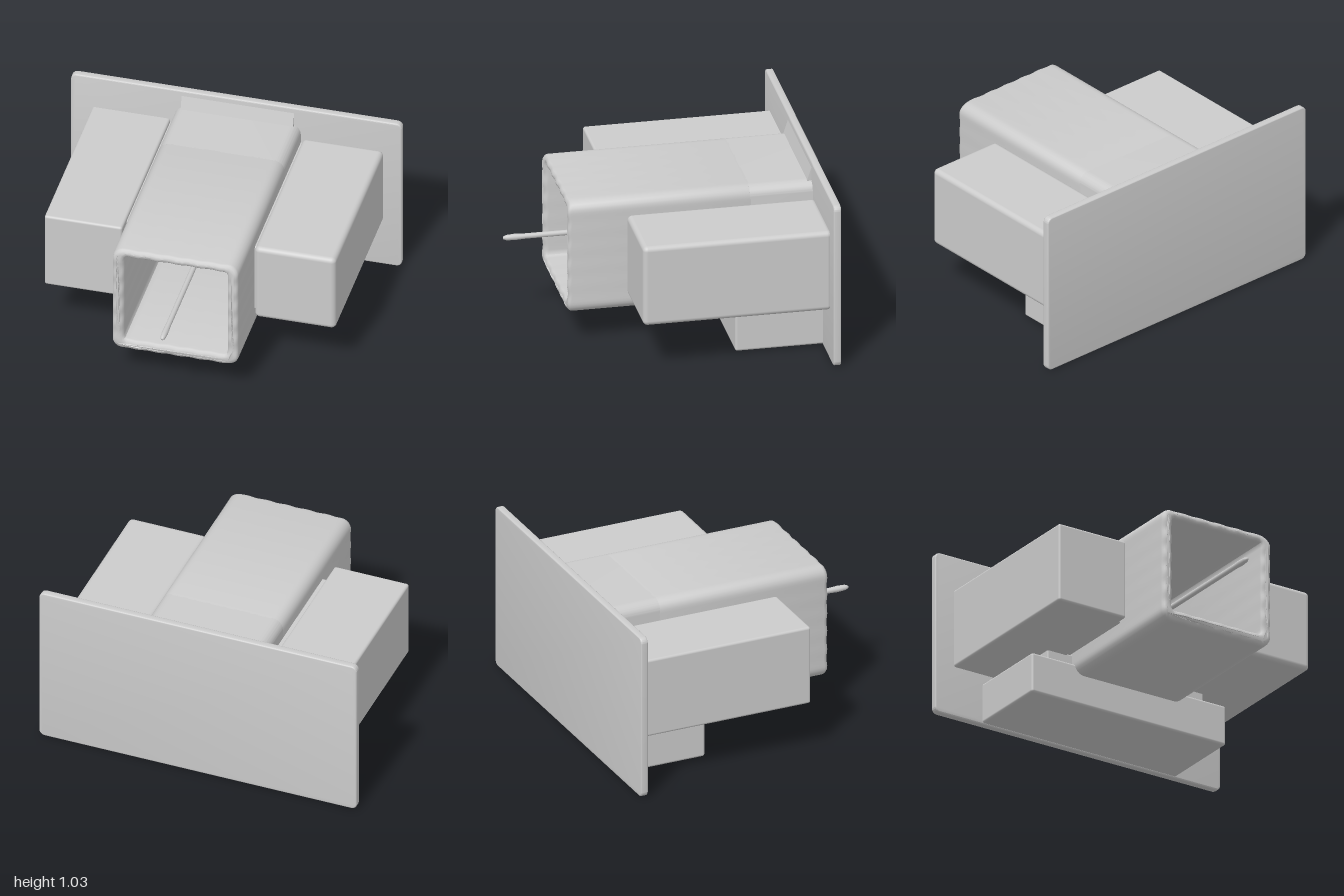
import * as THREE from 'three';
import { toCreasedNormals } from 'three/addons/utils/BufferGeometryUtils.js';
import { RoundedBoxGeometry } from 'three/addons/geometries/RoundedBoxGeometry.js';

const material = new THREE.MeshStandardMaterial({ color: 0xcccccc });

// Rounded rectangle as a dense closed contour
function roundedRect(x0, x1, y0, y1, r, count = 160) {
  const s = new THREE.Shape();
  s.moveTo(x0 + r, y0);
  s.lineTo(x1 - r, y0).absarc(x1 - r, y0 + r, r, -Math.PI / 2, 0);
  s.lineTo(x1, y1 - r).absarc(x1 - r, y1 - r, r, 0, Math.PI / 2);
  s.lineTo(x0 + r, y1).absarc(x0 + r, y1 - r, r, Math.PI / 2, Math.PI);
  s.lineTo(x0, y0 + r).absarc(x0 + r, y0 + r, r, Math.PI, Math.PI * 1.5);
  return count ? new THREE.Shape(s.getSpacedPoints(count).slice(0, -1)) : s;
}

// Extrusion between two z positions, with an optional inward bevel
function extrude(shape, z0, z1, bevel = 0) {
  return new THREE.ExtrudeGeometry(shape, {
    depth: z1 - z0 - 2 * bevel, curveSegments: 8,
    bevelEnabled: bevel > 0, bevelSize: bevel, bevelThickness: bevel,
    bevelOffset: -bevel, bevelSegments: 3,
  }).translate(0, 0, z0 + bevel);
}

export function createModel() {
  const model = new THREE.Group();
  const add = (name, geometry) => {
    const mesh = new THREE.Mesh(geometry, material);
    mesh.name = name;
    model.add(mesh);
  };
  const block = (name, x0, x1, y0, y1, z0, z1, r) => add(name,
    new RoundedBoxGeometry(x1 - x0, y1 - y0, z1 - z0, 4, r)
      .translate((x0 + x1) / 2, (y0 + y1) / 2, (z0 + z1) / 2));

  // Back plate
  add('backPlate', toCreasedNormals(
    extrude(roundedRect(-1, 1, 0, 1.03, 0.035, 0), -0.91, -0.865, 0.008), 0.6));

  // Sloping weld where the tube roof meets the plate
  const fillet = new THREE.Shape([[0.86, 0.90], [0.835, 0.90], [0.87, 1.01], [0.88, 1.01]]
    .map(([z, y]) => new THREE.Vector2(z, y)));
  add('roofFillet', extrude(fillet, -0.33, 0.35).rotateY(Math.PI / 2));

  // Front length of the hollow central tube, with a slightly rippled rim
  const tubeShape = roundedRect(-0.37, 0.39, 0.2, 0.915, 0.065);
  tubeShape.holes.push(roundedRect(-0.3, 0.325, 0.27, 0.865, 0.02));
  const tube = extrude(tubeShape, -0.52, 0.596, 0.025);
  const p = tube.attributes.position;
  for (let i = 0; i < p.count; i++) {
    if (p.getZ(i) > 0.5) {
      const wave = Math.sin(p.getX(i) * 50) + Math.sin(p.getY(i) * 54);
      p.setZ(i, p.getZ(i) + 0.003 * wave);
    }
  }
  add('centralTube', toCreasedNormals(tube, 0.7));

  // Rear length of the tube: an arch above a floor, leaving low side slots
  const arch = new THREE.Shape();
  arch.moveTo(-0.37, 0.315);
  arch.lineTo(-0.3, 0.315).lineTo(-0.3, 0.865).lineTo(0.325, 0.865).lineTo(0.325, 0.315);
  arch.lineTo(0.39, 0.315).lineTo(0.39, 0.85).absarc(0.325, 0.85, 0.065, 0, Math.PI / 2);
  arch.lineTo(-0.305, 0.915).absarc(-0.305, 0.85, 0.065, Math.PI / 2, Math.PI);
  add('rearTubeArch', toCreasedNormals(extrude(arch, -0.87, -0.49), 0.6));
  add('rearTubeFloor', toCreasedNormals(
    extrude(roundedRect(-0.36, 0.38, 0.2, 0.27, 0.03, 0), -0.87, -0.49), 0.6));

  // Side boxes and the recessed strips joining them to the tube
  block('rightBox', -0.87, -0.4, 0.32, 0.815, -0.88, 0.25, 0.015);
  block('leftBox', 0.4, 0.89, 0.315, 0.82, -0.88, 0.25, 0.03);
  block('rightJoint', -0.43, -0.34, 0.34, 0.79, -0.88, 0.14, 0.01);
  block('leftJoint', 0.36, 0.43, 0.34, 0.79, -0.88, 0.2, 0.01);

  // Low box under the tube, with small lugs up to the side boxes
  block('bottomBox', -0.67, 0.69, 0.01, 0.262, -0.88, -0.34, 0.015);
  for (const [name, x0, x1] of [['rightLug', -0.54, -0.34], ['leftLug', 0.36, 0.55]]) {
    block(name, x0, x1, 0.25, 0.33, -0.52, -0.37, 0.008);
  }

  // Thin central rod with a rounded tip
  const rod = [[0, -0.87], [0.016, -0.87], [0.016, 0.78], [0.019, 0.84], [0.016, 0.89], [0.008, 0.908], [0, 0.91]];
  add('centralRod', new THREE.LatheGeometry(rod.map(([r, z]) => new THREE.Vector2(r, z)), 16)
    .rotateX(Math.PI / 2).translate(0.015, 0.555, 0));

  return model;
}
